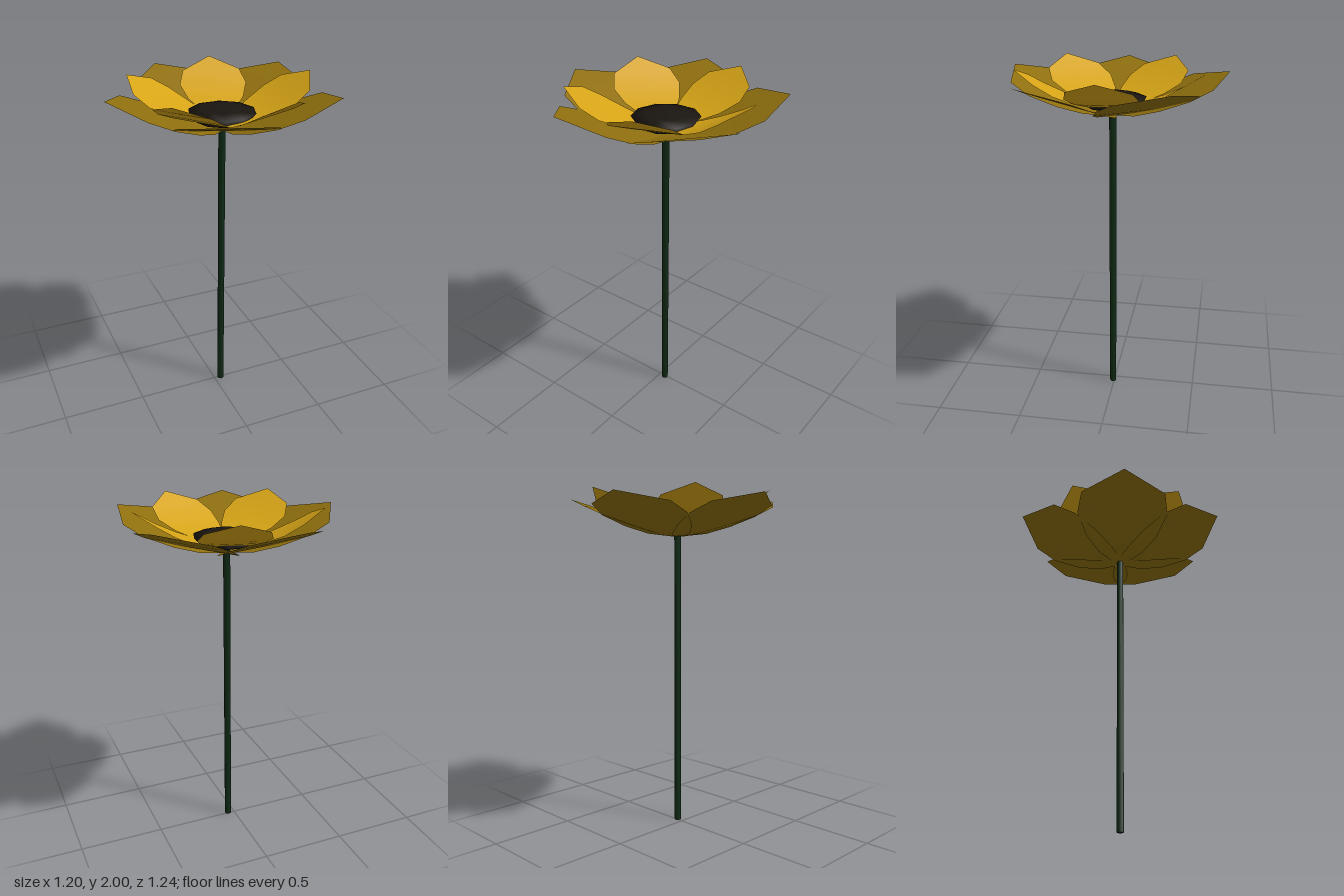
import * as THREE from 'three';

const material = (color) =>
  new THREE.MeshStandardMaterial({ color, side: THREE.DoubleSide });

// Petal from stations [distance from centre, half width, height], growing along +x
function petalGeometry(stations) {
  const positions = [];
  const index = [];
  stations.forEach(([d, w, y], i) => {
    positions.push(d, y, -w, d, y, 0, d, y, w);
    if (i === 0) return;
    const a = (i - 1) * 3;
    const b = i * 3;
    for (let k = 0; k < 2; k++) {
      index.push(a + k, a + k + 1, b + k, a + k + 1, b + k + 1, b + k);
    }
  });
  const geometry = new THREE.BufferGeometry();
  geometry.setAttribute('position', new THREE.Float32BufferAttribute(positions, 3));
  geometry.setIndex(index);
  geometry.computeVertexNormals();
  return geometry;
}

// Ring of petals, each turned to its angle (degrees from +x towards +z)
function petalRing(name, stations, angles, color) {
  const ring = new THREE.Group();
  ring.name = name + 's';
  const geometry = petalGeometry(stations);
  const mat = material(color);
  for (const angle of angles) {
    const petal = new THREE.Mesh(geometry, mat);
    petal.name = name;
    petal.rotation.y = -THREE.MathUtils.degToRad(angle);
    ring.add(petal);
  }
  return ring;
}

export function createModel() {
  const flower = new THREE.Group();
  flower.name = 'flower';
  const angles = [0, 70, 140, 215, 285];

  // Wide lower petals
  flower.add(petalRing('outerPetal', [
    [0, 0.04, 1.74], [0.1, 0.14, 1.755], [0.22, 0.22, 1.795],
    [0.37, 0.275, 1.853], [0.5, 0.25, 1.907], [0.65, 0, 1.96],
  ], angles.map((a) => 180 - a), 0x8f6f0e));

  // Smaller, steeper upper petals
  flower.add(petalRing('innerPetal', [
    [0, 0.02, 1.77], [0.16, 0.115, 1.808], [0.24, 0.16, 1.835],
    [0.35, 0.195, 1.885], [0.445, 0.167, 1.942], [0.535, 0, 2],
  ], angles, 0xd6a416));

  // Ten-sided, slightly domed centre
  const profile = [[0, 1.77], [0.15, 1.785], [0.19, 1.83], [0.12, 1.85], [0, 1.86]];
  const centre = new THREE.Mesh(
    new THREE.LatheGeometry(profile.map(([r, y]) => new THREE.Vector2(r, y)), 10, Math.PI / 2),
    material(0x1a1510),
  );
  centre.name = 'flowerCentre';
  flower.add(centre);

  // Six-sided stem
  const stem = new THREE.Mesh(
    new THREE.CylinderGeometry(0.02, 0.02, 1.75, 6),
    material(0x0f2a14),
  );
  stem.name = 'stem';
  stem.position.y = 0.875;
  flower.add(stem);

  flower.position.set(0.04, 0, 0.007);
  const model = new THREE.Group();
  model.add(flower);
  return model;
}
